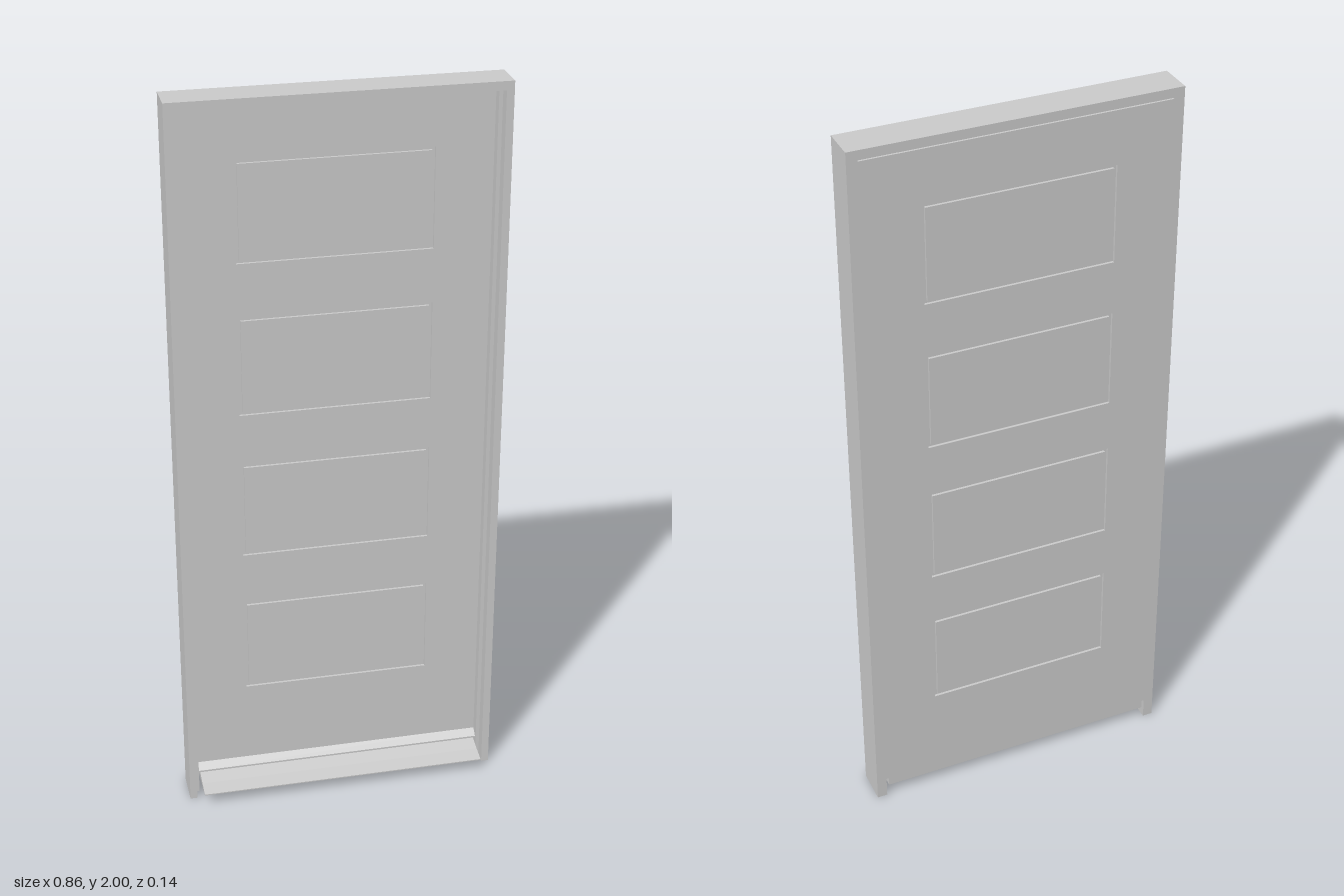
import * as THREE from 'three';

const material = new THREE.MeshStandardMaterial({ color: 0xcccccc, flatShading: true });

const BACK = -0.07, FRONT = 0.025, LEAF_FRONT = -0.03;

function add(parent, name, geometry) {
  const mesh = new THREE.Mesh(geometry, material);
  mesh.name = name;
  parent.add(mesh);
  return mesh;
}

function box(parent, name, x0, x1, y0, y1, z0, z1) {
  const g = new THREE.BoxGeometry(x1 - x0, y1 - y0, z1 - z0);
  g.translate((x0 + x1) / 2, (y0 + y1) / 2, (z0 + z1) / 2);
  return add(parent, name, g);
}

// Closed outline in x and y, extruded between two depths
function slab(outline, holes, z0, z1) {
  const toPoints = (list) => list.map(([x, y]) => new THREE.Vector2(x, y));
  const shape = new THREE.Shape(toPoints(outline));
  holes.forEach((h) => shape.holes.push(new THREE.Path(toPoints(h))));
  const g = new THREE.ExtrudeGeometry(shape, { depth: z1 - z0, bevelEnabled: false });
  g.translate(0, 0, z0);
  return g;
}

// Cross-section in z and y, swept across the width
function strip(section, halfWidth) {
  const g = slab(section, [], 0, halfWidth * 2);
  g.rotateY(-Math.PI / 2);
  g.translate(halfWidth, 0, 0);
  return g;
}

const rect = (x0, x1, y0, y1) => [[x0, y0], [x1, y0], [x1, y1], [x0, y1]];

// Three-sided frame, open at the floor
const archway = (half, top) => [
  [-0.43, 0], [-half, 0], [-half, top], [half, top],
  [half, 0], [0.43, 0], [0.43, 2], [-0.43, 2],
];

export function createModel() {
  const model = new THREE.Group();
  model.name = 'panelledDoor';

  // Frame with a stepped inner edge
  const frame = new THREE.Group();
  frame.name = 'frame';
  model.add(frame);
  add(frame, 'frameFace', slab(archway(0.41, 1.977), [], -0.005, FRONT));
  add(frame, 'frameStop', slab(archway(0.4, 1.968), [], LEAF_FRONT, -0.005));
  add(frame, 'frameRebate', slab(archway(0.402, 1.975), [], BACK, LEAF_FRONT));

  // Door leaf: two grooved skins around a solid core
  const leaf = new THREE.Group();
  leaf.name = 'doorLeaf';
  model.add(leaf);
  const groove = 0.008, depth = 0.007;
  const panels = [[0.312, 0.58], [0.728, 0.998], [1.142, 1.413], [1.56, 1.828]];
  const holes = panels.map(([y0, y1]) => rect(-0.256, 0.25, y0, y1));
  const outline = rect(-0.402, 0.402, 0.06, 1.972);
  box(leaf, 'leafCore', -0.402, 0.402, 0.06, 1.972, BACK + depth, LEAF_FRONT - depth);
  for (const [side, z0, z1] of [
    ['front', LEAF_FRONT - depth, LEAF_FRONT],
    ['back', BACK, BACK + depth],
  ]) {
    add(leaf, side + 'Skin', slab(outline, holes, z0, z1));
    for (const [y0, y1] of panels) {
      box(leaf, side + 'Panel', -0.256 + groove, 0.25 - groove, y0 + groove, y1 - groove, z0, z1);
    }
  }

  // Weather bar along the foot of the leaf
  add(leaf, 'weatherBar', strip([
    [LEAF_FRONT, 0.058], [-0.012, 0.058], [-0.012, 0.063], [LEAF_FRONT, 0.08],
  ], 0.4));

  // Sloping threshold with a projecting drip edge
  add(model, 'threshold', strip([
    [BACK, 0.035], [0.067, 0.035], [0.067, 0.038], [FRONT, 0.046], [LEAF_FRONT, 0.06], [BACK, 0.06],
  ], 0.395));

  return model;
}
